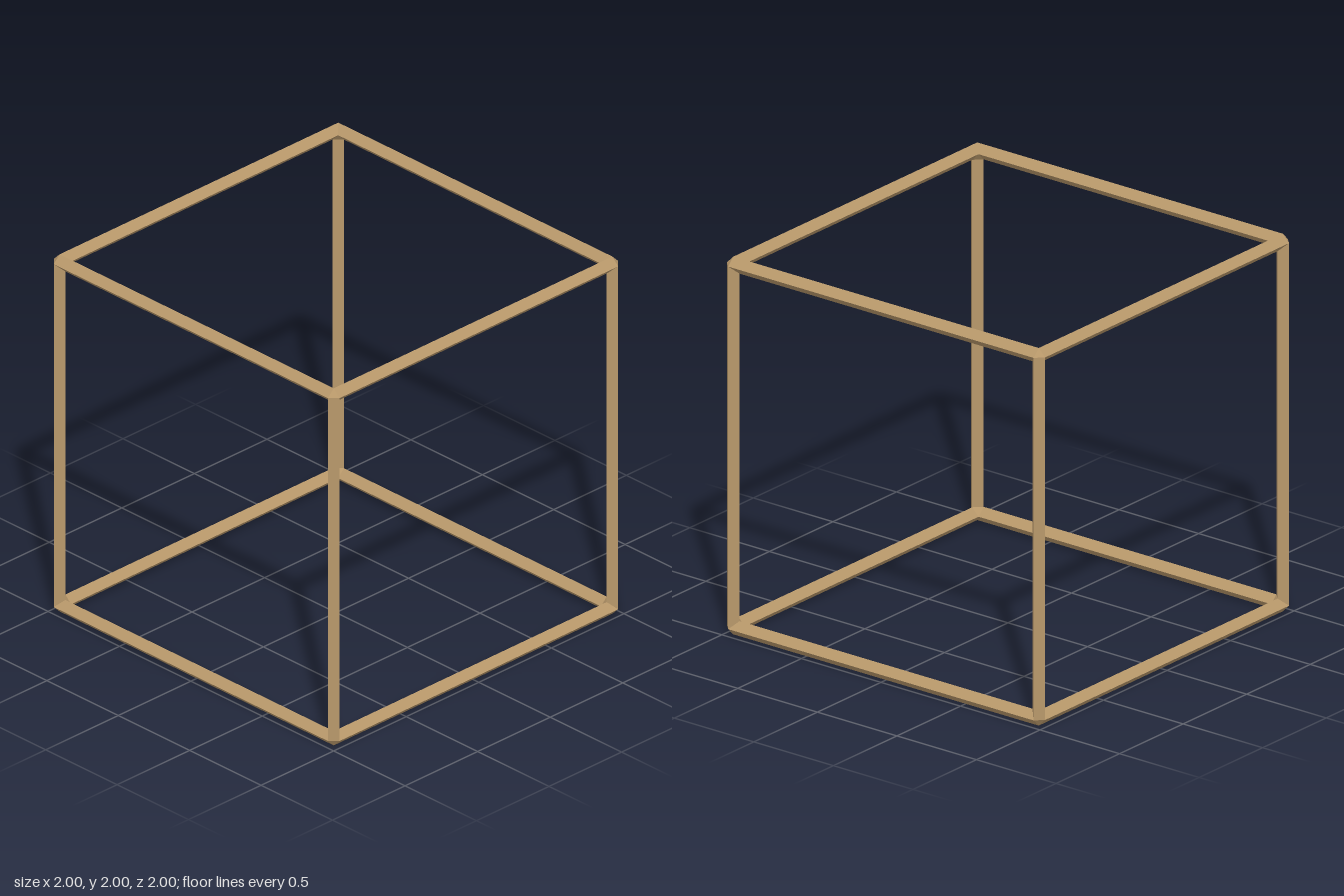
import * as THREE from 'three';

const R = 0.04;            // half the bar's thickness
const OUT = 1, MID = OUT - R, IN = OUT - 2 * R;

// Flat-shaded geometry from a list of [x, y, z] triangle corners
function facets(points) {
  const g = new THREE.BufferGeometry();
  g.setAttribute('position', new THREE.Float32BufferAttribute(points.flat(), 3));
  g.computeVertexNormals();
  return g;
}

// Upright bar with a diamond section, mitred at both ends: [x, z, half length]
function barGeometry() {
  const ridges = [[OUT, MID, MID], [MID, IN, IN], [IN, MID, IN], [MID, OUT, MID]];
  const points = [];
  ridges.forEach((p, i) => {
    const q = ridges[(i + 1) % 4];
    const at = ([x, z, h], s) => [x, s * h, z];
    points.push(at(p, -1), at(q, -1), at(q, 1), at(p, -1), at(q, 1), at(p, 1));
  });
  return facets(points);
}

// Small triangles that close the outside and inside of a cube corner
function cornerGeometry() {
  return facets([
    [OUT, MID, MID], [MID, OUT, MID], [MID, MID, OUT],
    [IN, IN, MID], [IN, MID, IN], [MID, IN, IN],
  ]);
}

// Four copies of one part, turned about the y axis
function ringOfFour(geometry, material, name) {
  const ring = new THREE.Group();
  for (let i = 0; i < 4; i++) {
    const mesh = new THREE.Mesh(geometry, material);
    mesh.name = name;
    mesh.rotation.y = i * Math.PI / 2;
    ring.add(mesh);
  }
  return ring;
}

export function createModel() {
  const model = new THREE.Group();
  model.name = 'cubeFrame';
  const wood = new THREE.MeshStandardMaterial({ color: 0xb8986a, flatShading: true });
  const frame = new THREE.Group();
  frame.name = 'frame';
  frame.position.y = 1;
  model.add(frame);

  // Bars along y, x and z
  const bar = barGeometry();
  const posts = ringOfFour(bar, wood, 'uprightBar');
  const crossBars = ringOfFour(bar, wood, 'crossBar');
  crossBars.rotation.z = Math.PI / 2;
  const sideBars = ringOfFour(bar, wood, 'sideBar');
  sideBars.rotation.x = Math.PI / 2;

  // Corners, top and bottom
  const corner = cornerGeometry();
  const topCorners = ringOfFour(corner, wood, 'topCorner');
  const bottomCorners = ringOfFour(corner, wood, 'bottomCorner');
  bottomCorners.rotation.x = Math.PI;

  frame.add(posts, crossBars, sideBars, topCorners, bottomCorners);
  return model;
}
